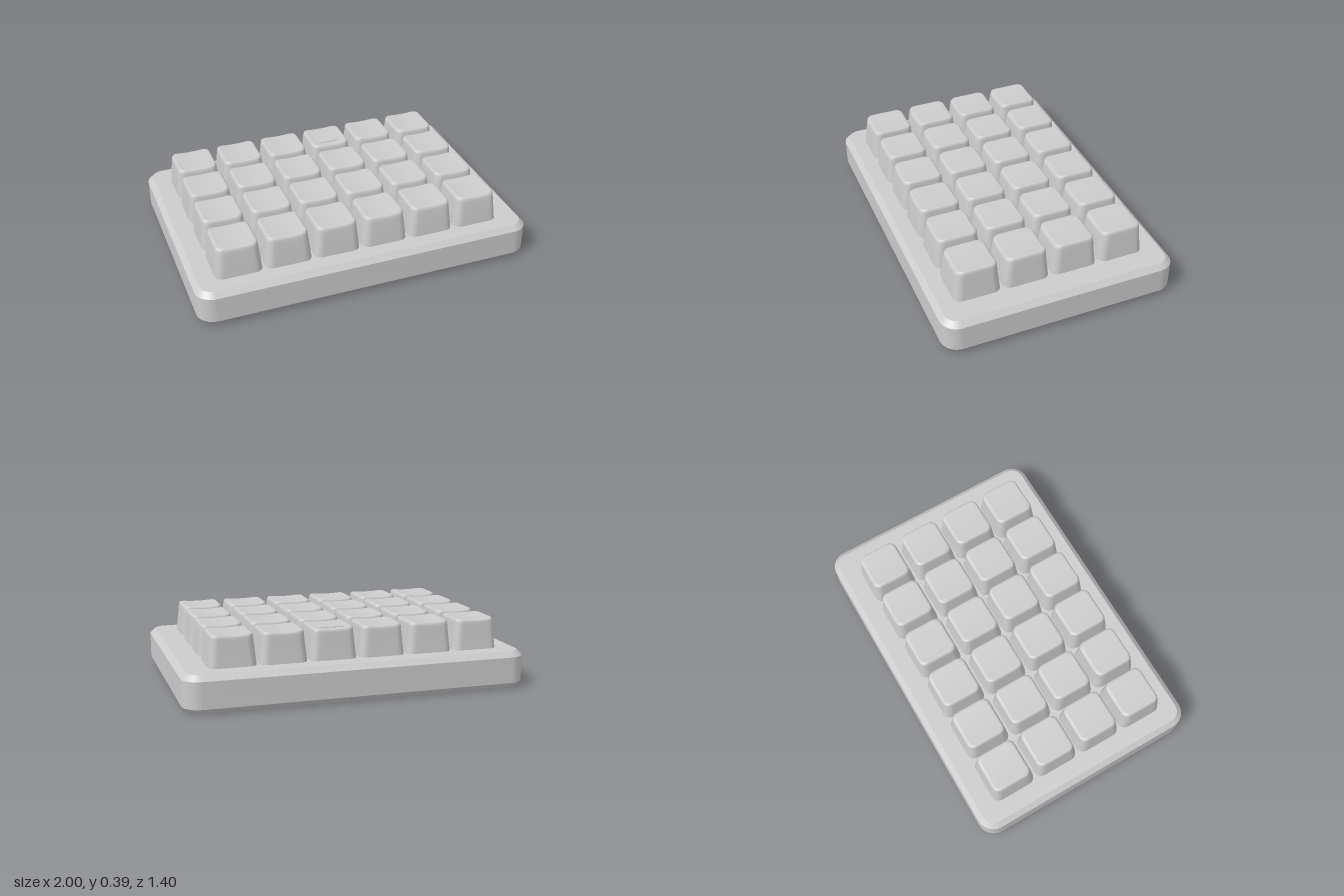
import * as THREE from 'three';
import { toCreasedNormals } from 'three/addons/utils/BufferGeometryUtils.js';

const CASE_W = 1.98, CASE_D = 1.37, CASE_H = 0.21, CHAMFER = 0.03;
const COLS = 6, ROWS = 4, PITCH = 0.2845;
const KEY_H = 0.18, DIP = 0.008;

// Rounded slab with a chamfer along its top and bottom edges
function caseGeometry() {
  const x = CASE_W / 2, y = CASE_D / 2, r = 0.1;
  const s = new THREE.Shape();
  s.absarc(x - r, y - r, r, 0, Math.PI / 2);
  s.absarc(-x + r, y - r, r, Math.PI / 2, Math.PI);
  s.absarc(-x + r, -y + r, r, Math.PI, Math.PI * 1.5);
  s.absarc(x - r, -y + r, r, Math.PI * 1.5, Math.PI * 2);
  const geo = new THREE.ExtrudeGeometry(s, {
    depth: CASE_H - 2 * CHAMFER, curveSegments: 8, bevelSegments: 1,
    bevelThickness: CHAMFER, bevelSize: CHAMFER, bevelOffset: -CHAMFER,
  });
  geo.rotateX(-Math.PI / 2).translate(0, CHAMFER, 0);
  return toCreasedNormals(geo, 0.5);
}

// Rounded square outline, counter-clockwise from above, with subdivided straight edges
function outline(half, r) {
  const arc = 6, edge = 6, pts = [];
  const corner = (k, t) => {
    const a = (k + t) * Math.PI / 2, mid = (k + 0.5) * Math.PI / 2;
    const c = (half - r) * Math.SQRT2;
    return [c * Math.cos(mid) + r * Math.cos(a), -c * Math.sin(mid) - r * Math.sin(a)];
  };
  for (let k = 0; k < 4; k++) {
    for (let i = 0; i <= arc; i++) pts.push(corner(k, i / arc));
    const a = corner(k, 1), b = corner(k + 1, 0);
    for (let i = 1; i < edge; i++) {
      const t = i / edge;
      pts.push([a[0] + (b[0] - a[0]) * t, a[1] + (b[1] - a[1]) * t]);
    }
  }
  return pts;
}

// Tapered keycap: stacked outlines, a soft rim and a top dished across its width
function keyGeometry() {
  const levels = [ // half width, corner radius, height
    [0.136, 0.045, -0.01], [0.135, 0.045, 0], [0.128, 0.044, 0.07], [0.121, 0.042, 0.14],
    [0.119, 0.041, 0.16], [0.1165, 0.039, 0.171], [0.112, 0.036, 0.177],
    [0.106, 0.033, KEY_H], [0.098, 0.03, KEY_H], [0.07, 0.02, KEY_H], [0.035, 0.01, KEY_H],
  ];
  const pos = [], index = [];
  const add = (x, y, z) => {
    const w = THREE.MathUtils.clamp((y - 0.1) / 0.08, 0, 1);
    const sag = DIP * w * Math.max(0, 1 - (x / 0.112) ** 2);
    pos.push(x, y - sag, z - 0.004 * w);
  };
  let n = 0;
  levels.forEach(([half, r, y]) => {
    const ring = outline(half, r);
    n = ring.length;
    ring.forEach(([x, z]) => add(x, y, z));
  });
  add(0, KEY_H, 0);
  const last = levels.length - 1, centre = levels.length * n;
  for (let j = 0; j < n; j++) {
    const k = (j + 1) % n;
    for (let i = 0; i < last; i++) {
      const a = i * n + j, b = i * n + k;
      index.push(a, b, b + n, a, b + n, a + n);
    }
    index.push(last * n + j, last * n + k, centre);
  }
  const geo = new THREE.BufferGeometry();
  geo.setAttribute('position', new THREE.Float32BufferAttribute(pos, 3));
  geo.setIndex(index);
  geo.computeVertexNormals();
  return geo;
}

export function createModel() {
  const material = new THREE.MeshStandardMaterial({ color: 0xcccccc });
  const model = new THREE.Group();
  model.name = 'keypad';
  const mesh = (geo, name, parent) => {
    const m = new THREE.Mesh(geo, material);
    m.name = name;
    parent.add(m);
    return m;
  };

  mesh(caseGeometry(), 'case', model);

  // Grid of keycaps
  const keys = new THREE.Group();
  keys.name = 'keys';
  keys.position.set(-0.015, CASE_H, 0.008);
  model.add(keys);
  const keyGeo = keyGeometry();
  for (let row = 0; row < ROWS; row++) {
    for (let col = 0; col < COLS; col++) {
      const key = mesh(keyGeo, `key_${row + 1}_${col + 1}`, keys);
      key.position.set((col - (COLS - 1) / 2) * PITCH, 0, (row - (ROWS - 1) / 2) * PITCH);
    }
  }

  // Flat plate set into the dish of one back-row key
  const plate = mesh(new THREE.BoxGeometry(0.15, 0.012, 0.15), 'keyPlate', keys);
  plate.position.set(0.5 * PITCH, KEY_H - DIP - 0.002, -1.5 * PITCH - 0.004);

  // The whole keypad is turned slightly
  model.rotation.y = -0.0165;
  return model;
}
